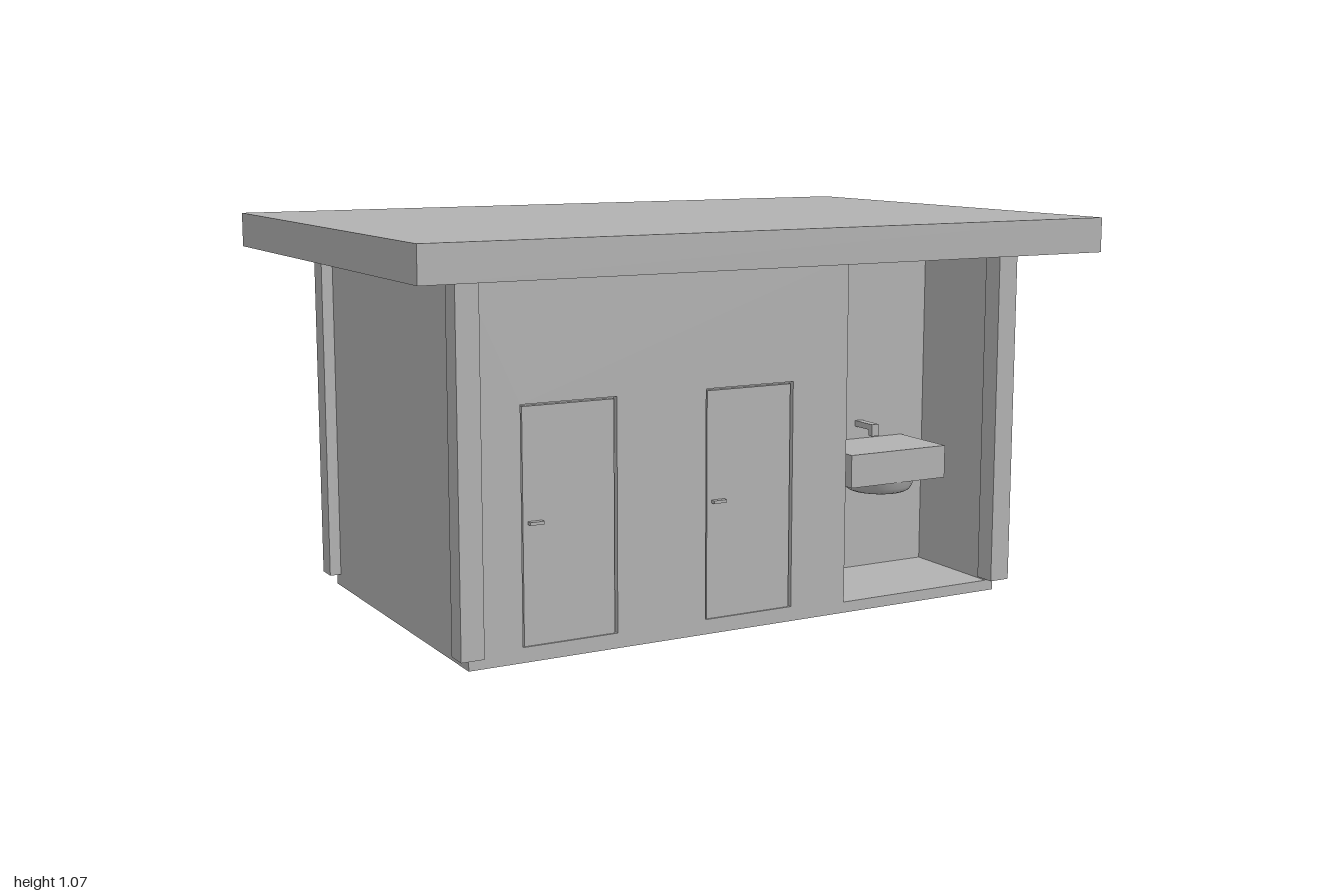
import * as THREE from 'three';

export function createModel() {
  const model = new THREE.Group();
  const grey = new THREE.MeshStandardMaterial({ color: 0xb2b2b2 });
  grey.name = 'plain grey';

  function add(name, geometry) {
    const mesh = new THREE.Mesh(geometry, grey);
    mesh.name = name;
    model.add(mesh);
    return mesh;
  }
  // Box given by its limits along each axis
  function box(name, [x0, x1], [y0, y1], [z0, z1]) {
    add(name, new THREE.BoxGeometry(x1 - x0, y1 - y0, z1 - z0))
      .position.set((x0 + x1) / 2, (y0 + y1) / 2, (z0 + z1) / 2);
  }
  // Rectangle outline for the front wall and its openings
  function rect(Type, x0, x1, y0, y1) {
    const p = new Type();
    p.moveTo(x0, y0);
    p.lineTo(x1, y0);
    p.lineTo(x1, y1);
    p.lineTo(x0, y1);
    p.closePath();
    return p;
  }

  // Roof and floor slabs
  box('roof', [-1, 1], [0.975, 1.07], [-0.676, 0.676]);
  box('floorSlab', [-0.81, 0.814], [0, 0.03], [-0.492, 0.48]);

  // Rooms behind the doors, and the walls around the open washing alcove
  const height = [0.03, 0.975];
  box('roomBlock', [-0.81, 0.3], height, [-0.492, 0.46]);
  box('alcoveBackWall', [0.3, 0.814], height, [-0.492, 0.165]);
  box('alcoveSideWall', [0.788, 0.814], height, [0.165, 0.48]);

  // Front wall with two door openings
  const doorLefts = [-0.663, -0.138];
  const doorWidth = 0.266;
  const wall = rect(THREE.Shape, -0.81, 0.3, 0.03, 0.975);
  for (const x of doorLefts) wall.holes.push(rect(THREE.Path, x, x + doorWidth, 0.04, 0.653));
  add('frontWall', new THREE.ExtrudeGeometry(wall, { depth: 0.02, bevelEnabled: false }))
    .position.z = 0.46;

  // Doors with a narrow gap around them, and lever handles
  for (const x of doorLefts) {
    box('door', [x + 0.006, x + doorWidth - 0.006], [0.04, 0.647], [0.46, 0.475]);
    box('doorHandle', [x + 0.02, x + 0.058], [0.35, 0.358], [0.474, 0.49]);
  }

  // Corner posts
  for (const xs of [[-0.842, -0.78], [0.785, 0.846]]) {
    for (const zs of [[-0.52, -0.46], [0.45, 0.51]]) box('cornerPost', xs, [0.034, 0.975], zs);
  }

  // Wash basin: counter, bowl below it and tap on the back wall
  box('counter', [0.39, 0.712], [0.32, 0.413], [0.165, 0.378]);
  const bowlProfile = [[0, 0.283], [0.08, 0.283], [0.09, 0.288], [0.098, 0.3], [0.105, 0.32]]
    .map(([r, y]) => new THREE.Vector2(r, y));
  add('basinBowl', new THREE.LatheGeometry(bowlProfile, 32)).position.set(0.556, 0, 0.271);
  box('tapSpout', [0.548, 0.571], [0.45, 0.467], [0.165, 0.25]);
  box('tapNozzle', [0.548, 0.571], [0.433, 0.45], [0.232, 0.25]);

  return model;
}
